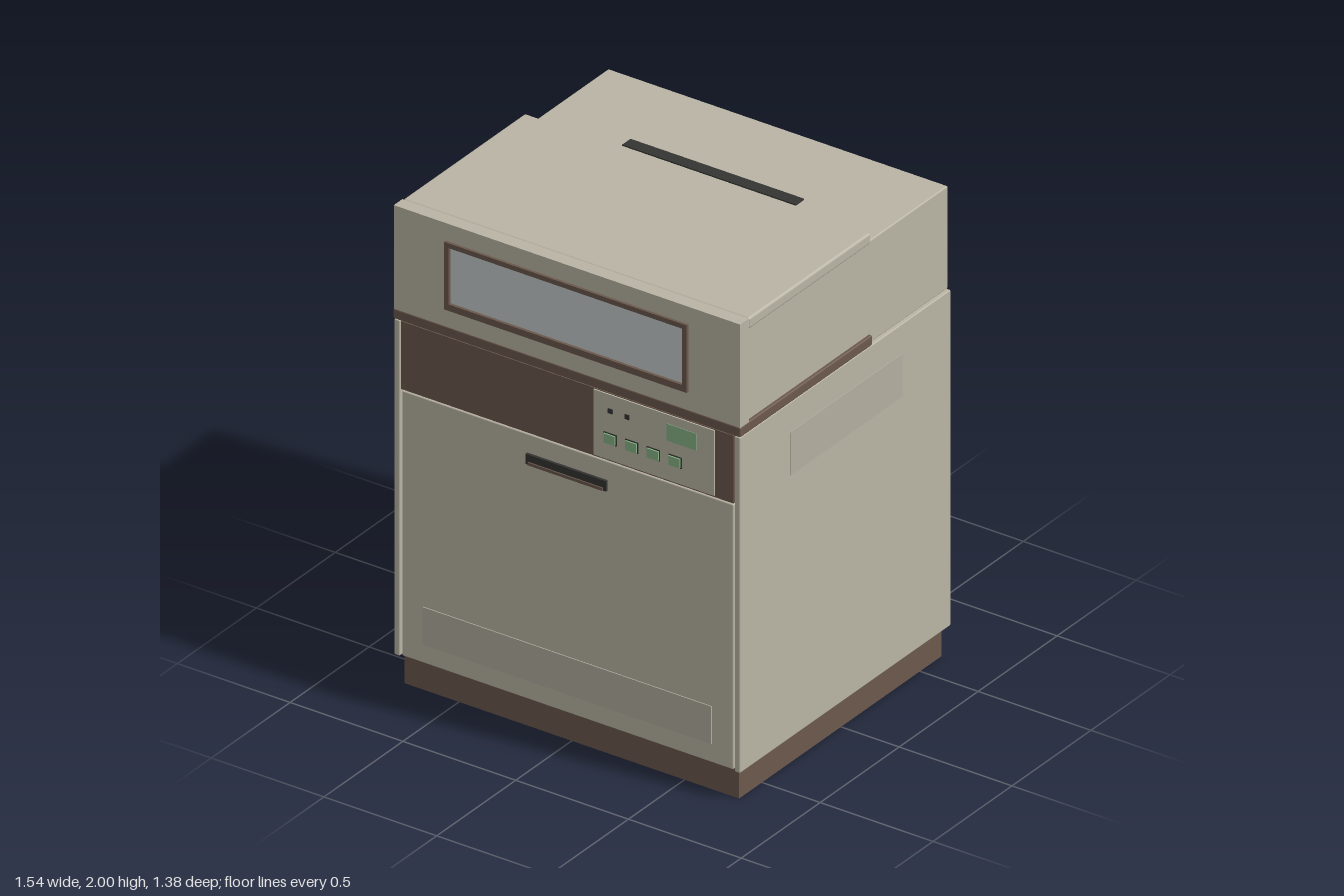
import * as THREE from 'three';
import { RoundedBoxGeometry } from 'three/addons/geometries/RoundedBoxGeometry.js';

const mat = (name, color) => Object.assign(new THREE.MeshStandardMaterial({ color }), { name });

export function createModel() {
  const beige = mat('beige enamel', 0xb9b4a4);
  const strip = mat('pale grey beige', 0xb3aea0);
  const brown = mat('brown trim', 0x6b584c);
  const dark = mat('dark slot', 0x343432);
  const green = mat('green display', 0x86b386);
  const glass = mat('pale glass', 0xc3cbcc);

  const model = new THREE.Group();
  model.name = 'machine';

  // Box given by its extents; a radius rounds the edges
  function box(name, m, [x0, x1], [y0, y1], [z0, z1], r = 0) {
    const s = [x1 - x0, y1 - y0, z1 - z0];
    const geo = r ? new RoundedBoxGeometry(...s, 2, r) : new THREE.BoxGeometry(...s);
    const mesh = new THREE.Mesh(geo, m);
    mesh.name = name;
    mesh.position.set((x0 + x1) / 2, (y0 + y1) / 2, (z0 + z1) / 2);
    model.add(mesh);
    return mesh;
  }

  // Upright plate with a rectangular opening, between z0 and z1
  function frame(name, m, [x0, x1], [y0, y1], [hx0, hx1], [hy0, hy1], [z0, z1]) {
    const rect = (C, a, b, c, d) => {
      const p = new C();
      p.moveTo(a, c); p.lineTo(b, c); p.lineTo(b, d); p.lineTo(a, d); p.closePath();
      return p;
    };
    const shape = rect(THREE.Shape, x0, x1, y0, y1);
    shape.holes.push(rect(THREE.Path, hx0, hx1, hy0, hy1));
    const mesh = new THREE.Mesh(
      new THREE.ExtrudeGeometry(shape, { depth: z1 - z0, bevelEnabled: false }), m);
    mesh.name = name;
    mesh.position.z = z0;
    model.add(mesh);
  }

  // Plinth and main cabinet
  box('plinth', brown, [-0.742, 0.742], [0, 0.124], [-0.635, 0.645]);
  box('cabinetCore', beige, [-0.75, 0.75], [0.124, 1.525], [-0.635, 0.645]);
  for (const s of [-1, 1]) {
    const x = (a, b) => (s > 0 ? [a, b] : [-b, -a]);
    box('sidePanel', beige, x(0.742, 0.767), [0.126, 1.527], [-0.66, 0.675], 0.005);
    box('sidePlate', strip, x(0.765, 0.77), [1.225, 1.405], [-0.35, 0.36]);
  }

  // Front door with pull and kick strip
  box('frontDoor', beige, [-0.735, 0.735], [0.13, 1.236], [0.64, 0.672], 0.005);
  box('kickStrip', strip, [-0.64, 0.64], [0.208, 0.365], [0.67, 0.676]);
  box('doorPull', dark, [-0.178, 0.178], [1.115, 1.158], [0.67, 0.683]);
  box('doorPullLip', brown, [-0.165, 0.165], [1.116, 1.128], [0.68, 0.688]);

  // Control fascia
  box('fascia', brown, [-0.737, 0.737], [1.242, 1.525], [0.64, 0.673]);
  box('controlPanel', beige, [0.12, 0.655], [1.25, 1.522], [0.67, 0.679]);
  box('display', green, [0.446, 0.576], [1.415, 1.485], [0.678, 0.681]);
  for (const x of [0.196, 0.27]) {
    box('indicator', dark, [x - 0.01, x + 0.01], [1.446, 1.465], [0.678, 0.683]);
  }
  for (let i = 0; i < 4; i++) {
    const x = 0.195 + i * 0.096;
    box('buttonRim', dark, [x - 0.029, x + 0.029], [1.317, 1.363], [0.678, 0.682]);
    box('button', green, [x - 0.025, x + 0.025], [1.321, 1.359], [0.68, 0.688]);
  }

  // Front hood: trim, sides, face and top
  box('hoodTrim', brown, [-0.77, 0.77], [1.528, 1.57], [-0.16, 0.677], 0.006);
  box('hoodBody', beige, [-0.757, 0.757], [1.56, 1.96], [-0.155, 0.63]);
  box('hoodTop', beige, [-0.768, 0.768], [1.953, 2], [-0.155, 0.619], 0.01);
  frame('hoodFace', beige, [-0.768, 0.768], [1.565, 2], [-0.52, 0.52], [1.665, 1.91], [0.62, 0.675]);
  frame('windowFrame', brown, [-0.538, 0.538], [1.645, 1.927], [-0.517, 0.517], [1.672, 1.907], [0.655, 0.686]);
  box('frontWindow', glass, [-0.525, 0.525], [1.66, 1.915], [0.655, 0.674]);

  // Rear housing with top vent
  box('rearHousing', beige, [-0.753, 0.753], [1.527, 1.955], [-0.662, -0.16], 0.006);
  box('topVent', dark, [-0.385, 0.385], [1.95, 1.96], [-0.277, -0.224]);

  // Back: plain door with handle, and a door with a window
  box('rearDoor', beige, [0.008, 0.738], [0.13, 1.522], [-0.658, -0.63], 0.005);
  box('rearHandle', brown, [0.603, 0.637], [0.67, 0.985], [-0.69, -0.65], 0.006);
  box('rearDoorGap', dark, [-0.012, 0.012], [0.13, 1.522], [-0.64, -0.634]);
  frame('rearWindowDoor', beige, [-0.738, -0.008], [0.13, 1.522], [-0.63, -0.09], [0.63, 1.235], [-0.658, -0.63]);
  box('rearWindow', glass, [-0.632, -0.088], [0.628, 1.237], [-0.653, -0.634]);

  return model;
}
